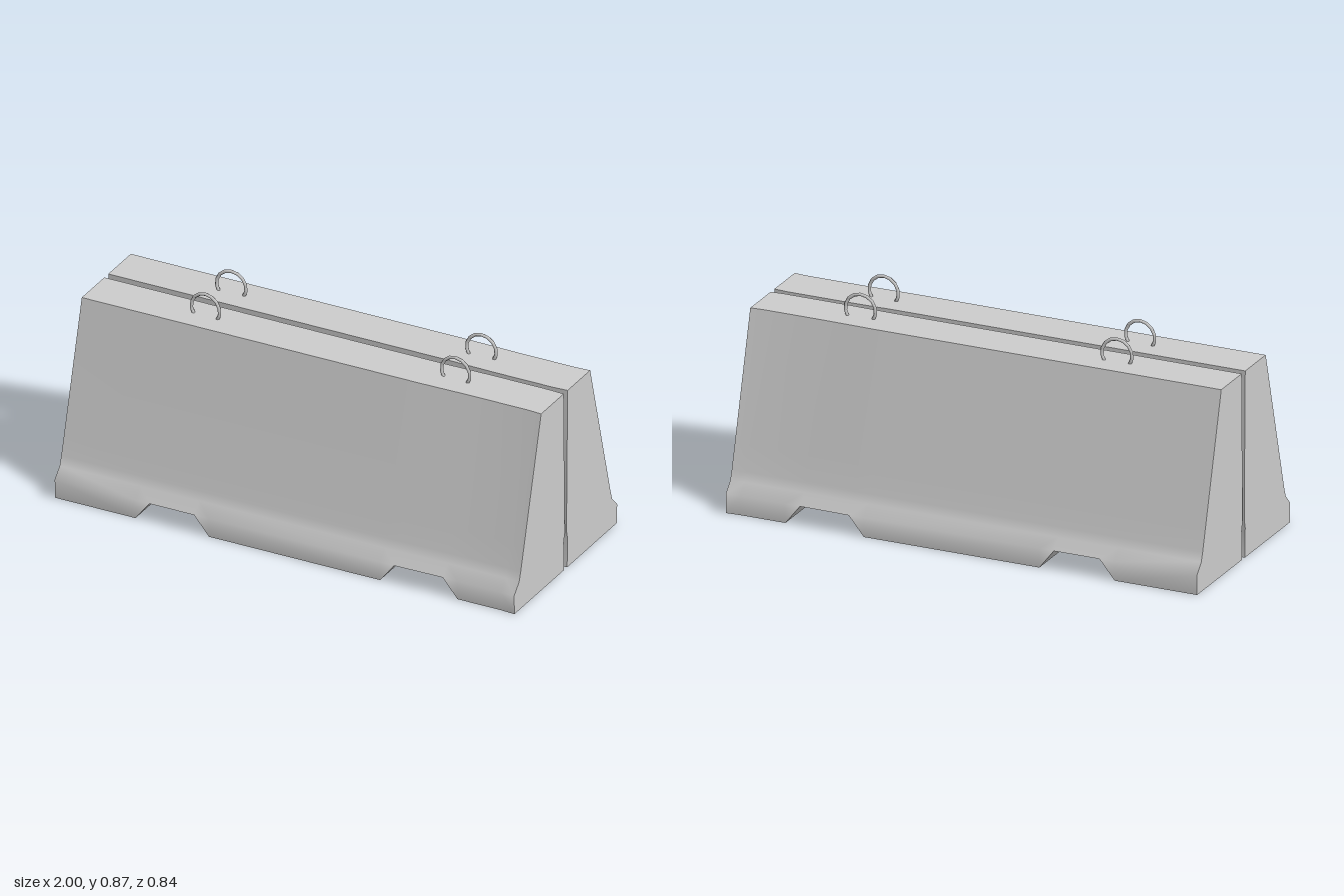
import * as THREE from 'three';
import { toCreasedNormals } from 'three/addons/utils/BufferGeometryUtils.js';

const grey = new THREE.MeshStandardMaterial({ color: 0xcccccc });

// Cross-section of one half as [z, y], from the inner foot outwards and round.
// Points 1-3 form the floor and are lifted inside the lifting pockets.
const profile = [
  [0.012, 0], [0.235, 0], [0.235, 0], [0.418, 0],
  [0.421, 0.08], [0.38, 0.122], [0.367, 0.16], [0.34, 0.258], [0.2, 0.77],
  [0.016, 0.77], [0.007, 0.16], [0.016, 0.122],
];

// Slight inward bow of the casting towards one end
const bow = (x) => (x > 0.6 && x < 0.95 ? -0.004 : 0);

// One section; inside a pocket the floor is raised.
// dir points from the section towards the pocket's nearer foot.
function section(x, inPocket, dir = 0) {
  return profile.map(([z, y], i) => {
    let px = x;
    if (inPocket && i === 2) { y = 0.045; px = x + dir * 0.028; }
    if (inPocket && i === 3) { y = 0.08; z = 0.421; }
    return new THREE.Vector3(px, y, z + bow(x));
  });
}

function barrierGeometry(side) {
  const sections = [section(-1, false)];
  for (const [x0, x1] of [[-0.65, -0.33], [0.415, 0.75]]) {
    sections.push(
      section(x0, false),
      section(x0 + 0.063, true, -1),
      section(x1 - 0.063, true, 1),
      section(x1, false),
    );
  }
  sections.push(section(0.94, false), section(1, false));

  const pos = [];
  const tri = (a, b, c) => {
    if (new THREE.Triangle(a, b, c).getArea() < 1e-8) return;
    const corners = side > 0 ? [a, b, c] : [a, c, b];
    for (const p of corners) pos.push(p.x, p.y, p.z * side);
  };

  // Skin between neighbouring sections
  for (let s = 0; s < sections.length - 1; s++) {
    const A = sections[s], B = sections[s + 1];
    for (let i = 0; i < A.length; i++) {
      const j = (i + 1) % A.length;
      tri(A[i], B[i], A[j]);
      tri(B[i], B[j], A[j]);
    }
  }

  // End caps
  const cap = (ring, flip) => {
    const pts = ring.filter((p, i) => i !== 2);
    const outline = pts.map((p) => new THREE.Vector2(p.z, p.y));
    for (const [a, b, c] of THREE.ShapeUtils.triangulateShape(outline, [])) {
      if (flip) tri(pts[a], pts[c], pts[b]);
      else tri(pts[a], pts[b], pts[c]);
    }
  };
  cap(sections[0], false);
  cap(sections[sections.length - 1], true);

  const geo = new THREE.BufferGeometry();
  geo.setAttribute('position', new THREE.Float32BufferAttribute(pos, 3));
  return toCreasedNormals(geo, THREE.MathUtils.degToRad(48));
}

// Open steel loop whose ends sink into the concrete
function liftingLoop(x, side) {
  const arc = THREE.MathUtils.degToRad(250);
  const geo = new THREE.TorusGeometry(0.063, 0.007, 6, 10, arc);
  geo.rotateZ((Math.PI - arc) / 2);
  const loop = new THREE.Mesh(geo, grey);
  loop.name = 'liftingLoop';
  loop.position.set(x, 0.8, 0.105 * side);
  loop.rotation.y = -0.04 * side;
  return loop;
}

export function createModel() {
  const model = new THREE.Group();
  model.name = 'concreteBarrierPair';
  for (const side of [1, -1]) {
    const half = new THREE.Group();
    half.name = side > 0 ? 'frontBarrier' : 'backBarrier';
    const body = new THREE.Mesh(barrierGeometry(side), grey);
    body.name = 'concreteBody';
    half.add(body, liftingLoop(-0.512, side), liftingLoop(0.577, side));
    model.add(half);
  }
  return model;
}
